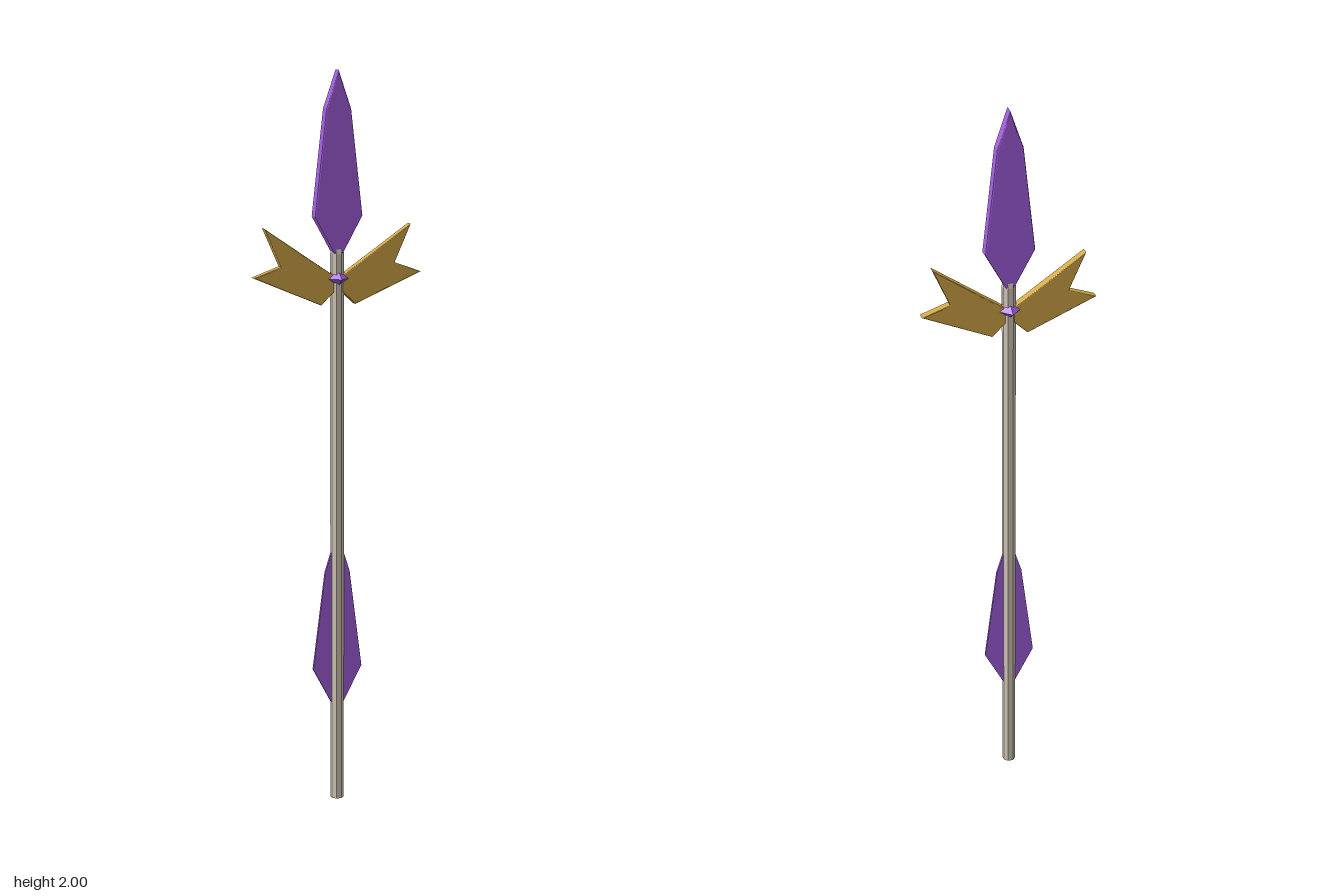
import * as THREE from 'three';

const wood = new THREE.MeshStandardMaterial({ color: 0xd6cbbb, flatShading: true });
const purple = new THREE.MeshStandardMaterial({ color: 0xa45fe0, flatShading: true });
const gold = new THREE.MeshStandardMaterial({ color: 0xd4a847, flatShading: true });

// Flat plate from an outline, centred on z = 0, with bevelled rims inside the outline
function plate(points, halfDepth, bevel) {
  const shape = new THREE.Shape(points.map(([x, y]) => new THREE.Vector2(x, y)));
  const geo = new THREE.ExtrudeGeometry(shape, {
    depth: 2 * (halfDepth - bevel),
    bevelEnabled: bevel > 0,
    bevelThickness: bevel,
    bevelSize: bevel,
    bevelOffset: -bevel,
    bevelSegments: 2,
  });
  return geo.translate(0, 0, -(halfDepth - bevel));
}

// Closed symmetric outline from its right-hand half, listed bottom to top
function symmetric(half) {
  const left = half.slice(1, -1).reverse().map(([x, y]) => [-x, y]);
  return [...half, ...left];
}

export function createModel() {
  const group = new THREE.Group();
  const add = (name, geometry, material) => {
    const mesh = new THREE.Mesh(geometry, material);
    mesh.name = name;
    group.add(mesh);
    return mesh;
  };

  // Straight shaft with a short tapered tenon inside the blade
  const shaft = add('shaft', new THREE.CylinderGeometry(0.0185, 0.0185, 1.52, 8), wood);
  shaft.position.y = 0.76;
  shaft.rotation.y = Math.PI / 8;
  const tenon = add('tenon', new THREE.CylinderGeometry(0.01, 0.0185, 0.05, 8), wood);
  tenon.position.y = 1.545;
  tenon.rotation.y = Math.PI / 8;

  // Spear blade
  const blade = symmetric([[0, 1.5], [0.067, 1.62], [0.035, 1.9], [0, 2]]);
  add('blade', plate(blade, 0.015, 0.004), purple);

  // Thin fin through the lower shaft
  const fin = symmetric([[0, 0.245], [0.07, 0.377], [0.035, 0.65], [0, 0.76]]);
  add('lowerFin', plate(fin, 0.004, 0), purple);

  // Forked wings, mirrored across the shaft
  const wing = [[0, 1.43], [0.048, 1.385], [0.235, 1.465], [0.16, 1.492], [0.205, 1.594], [0.012, 1.463]];
  add('leftWing', plate(wing, 0.012, 0.003), gold);
  const mirrored = wing.map(([x, y]) => [-x, y]);
  add('rightWing', plate(mirrored, 0.012, 0.003), gold);

  // Faceted gem at the wing joint
  const gem = add('gem', new THREE.OctahedronGeometry(0.04), purple);
  gem.scale.y = 0.7;
  gem.position.y = 1.455;

  return group;
}
